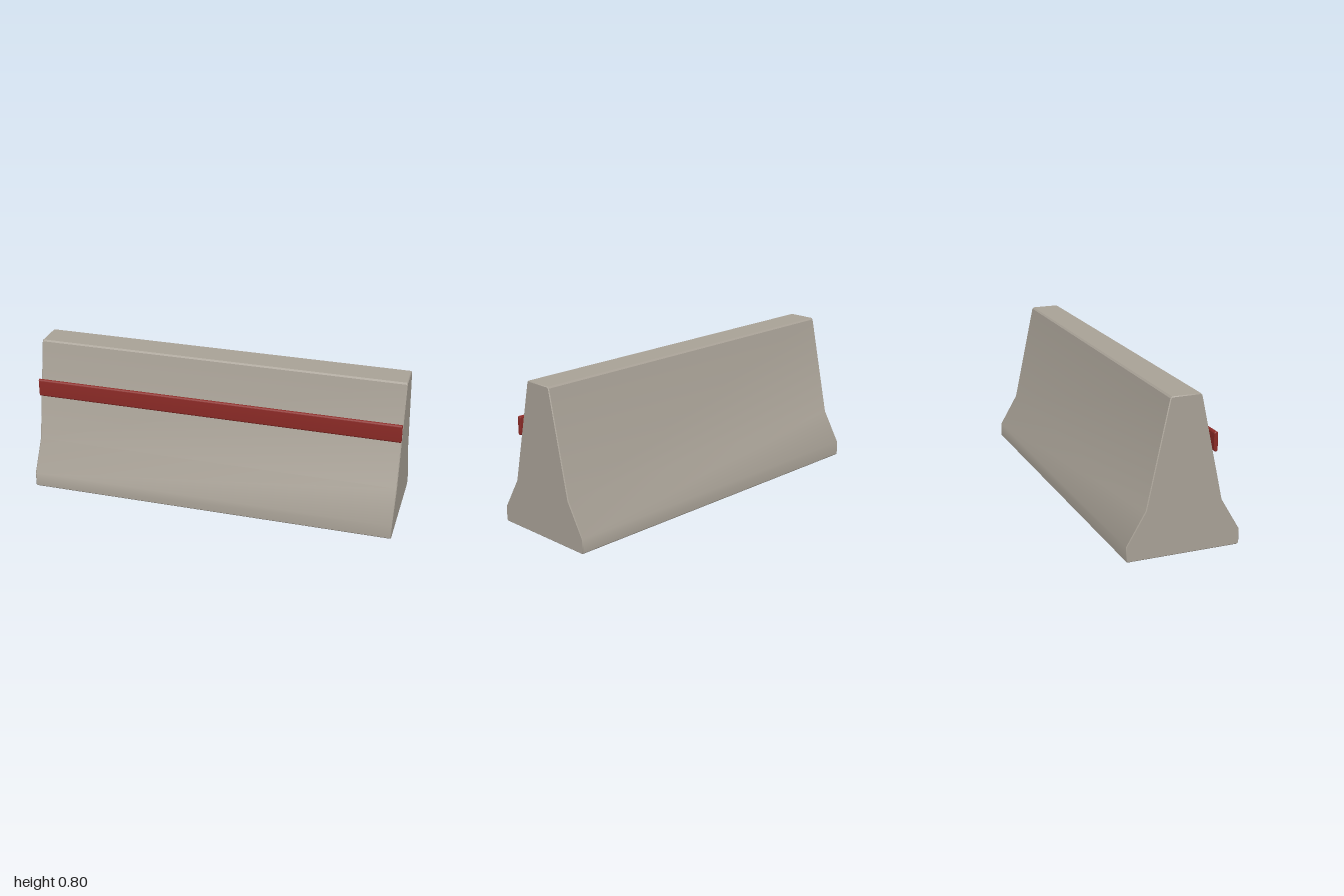
import * as THREE from 'three';
import { toCreasedNormals } from 'three/addons/utils/BufferGeometryUtils.js';

const LENGTH = 2;

// Sweeps a cross-section (z, y) along x, with slightly chamfered ends
function bar(name, shape, color, chamfer) {
  const geometry = new THREE.ExtrudeGeometry(shape, {
    depth: LENGTH - 2 * chamfer,
    curveSegments: 8,
    bevelEnabled: true,
    bevelSegments: 1,
    bevelSize: chamfer,
    bevelThickness: chamfer,
    bevelOffset: -chamfer,
  });
  geometry.translate(0, 0, chamfer - LENGTH / 2);
  geometry.rotateY(-Math.PI / 2); // shape x becomes +z
  const mesh = new THREE.Mesh(
    toCreasedNormals(geometry, 0.56),
    new THREE.MeshStandardMaterial({ color })
  );
  mesh.name = name;
  return mesh;
}

export function createModel() {
  const group = new THREE.Group();
  group.name = 'roadBarrier';

  // Concrete body: half profile from base to crown, mirrored front to back
  const half = [
    [0.293, 0], [0.3, 0.007], [0.3, 0.08], [0.2, 0.25], [0.082, 0.792], [0.074, 0.8],
  ];
  const profile = [
    ...half.map(([z, y]) => new THREE.Vector2(z, y)),
    ...half.map(([z, y]) => new THREE.Vector2(-z, y)).reverse(),
  ];
  group.add(bar('barrierBody', new THREE.Shape(profile), 0xa8a196, 0.004));

  // Red warning strip with rounded upper and lower edges, standing off the front
  const r = 0.01;
  const strip = new THREE.Shape();
  strip.absarc(0, 0.05 - r, r, 0, Math.PI, false);
  strip.absarc(0, r - 0.05, r, Math.PI, 2 * Math.PI, false);
  const warningStrip = bar('warningStrip', strip, 0x8b2a26, 0.003);
  warningStrip.position.set(0, 0.55, 0.16);
  group.add(warningStrip);

  return group;
}
